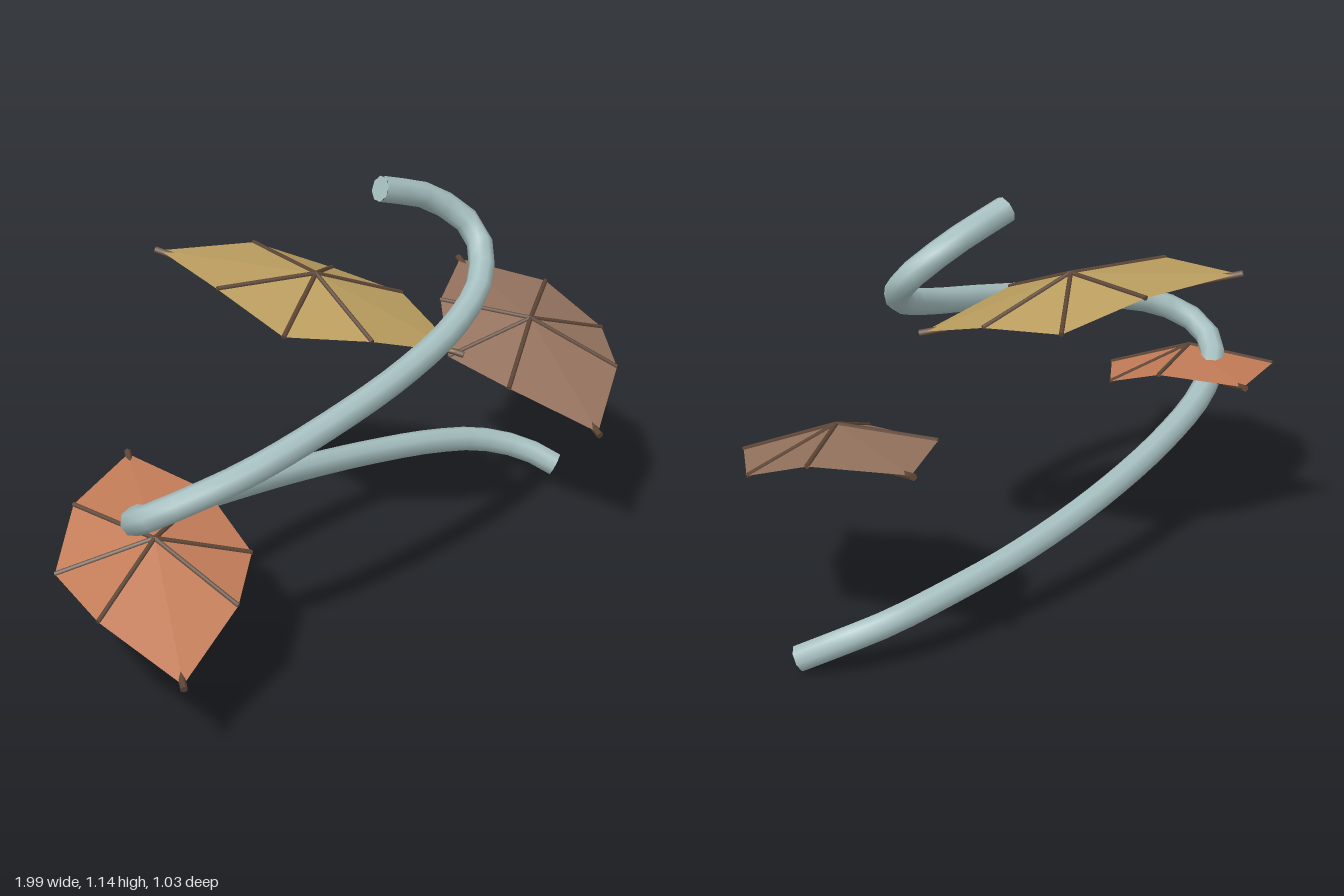
import * as THREE from 'three';

const mat = (name, color, double) => {
  const m = new THREE.MeshStandardMaterial({ color });
  m.name = name;
  if (double) m.side = THREE.DoubleSide;
  return m;
};

const V = (x, y, z) => new THREE.Vector3(x, y, z);

function mesh(name, geometry, material) {
  const m = new THREE.Mesh(geometry, material);
  m.name = name;
  return m;
}

// Thin round bar between two points
function bar(name, a, b, radius, material) {
  const m = mesh(name, new THREE.CylinderGeometry(radius, radius, a.distanceTo(b), 6), material);
  m.position.addVectors(a, b).multiplyScalar(0.5);
  m.quaternion.setFromUnitVectors(V(0, 1, 0), b.clone().sub(a).normalize());
  return m;
}

// Rising spiral tube with closed ends
function spiral(material) {
  const group = new THREE.Group();
  group.name = 'spiral';
  const radius = 0.037, sides = 8;
  const curve = new THREE.CatmullRomCurve3([
    [0.95, 0.04, 0.065], [0.9, 0.085, -0.015], [0.79, 0.13, -0.1], [0.63, 0.165, -0.15],
    [0.38, 0.205, -0.19], [0.05, 0.26, -0.203], [-0.3, 0.325, -0.178], [-0.55, 0.385, -0.13],
    [-0.7, 0.44, -0.06], [-0.762, 0.495, 0.03], [-0.71, 0.555, 0.125], [-0.55, 0.61, 0.205],
    [-0.3, 0.67, 0.25], [0, 0.735, 0.263], [0.25, 0.795, 0.235], [0.42, 0.86, 0.175],
    [0.51, 0.95, 0.075], [0.43, 1.045, -0.01], [0.25, 1.112, -0.053],
  ].map(p => V(...p)), false, 'centripetal');
  group.add(mesh('spiralTube', new THREE.TubeGeometry(curve, 48, radius, sides), material));
  for (const t of [0, 1]) {
    const cap = mesh('spiralEnd', new THREE.CircleGeometry(radius, sides), material);
    cap.position.copy(curve.getPoint(t));
    const out = curve.getTangent(t).multiplyScalar(t ? 1 : -1);
    cap.quaternion.setFromUnitVectors(V(0, 0, 1), out);
    group.add(cap);
  }
  return group;
}

// Eight-panel canopy with its peak at the origin, ribs and a straight spar
function canopy(name, cloth, wood, position, yaw) {
  const group = new THREE.Group();
  group.name = name;
  const rim = [
    V(0, -0.088, -0.445), V(-0.18, -0.055, -0.225), V(-0.26, -0.088, 0), V(-0.18, -0.055, 0.225),
    V(0, -0.088, 0.445), V(0.18, -0.055, 0.225), V(0.26, -0.088, 0), V(0.18, -0.055, -0.225),
  ];
  const peak = V(0, 0, 0);
  const panels = rim.flatMap((p, i) => [peak, p, rim[(i + 1) % rim.length]]);
  const geometry = new THREE.BufferGeometry().setFromPoints(panels);
  geometry.computeVertexNormals();
  group.add(mesh('cloth', geometry, cloth));

  rim.forEach((p, i) => {
    if (i % 4) group.add(bar('rib', peak, p, 0.007, wood));
  });
  group.add(bar('spar', V(0, -0.09, -0.458), V(0, -0.09, 0.458), 0.01, wood));

  group.position.set(...position);
  group.rotation.set(THREE.MathUtils.degToRad(14.2), THREE.MathUtils.degToRad(yaw), 0, 'YXZ');
  return group;
}

export function createModel() {
  const model = new THREE.Group();
  model.name = 'spiralWithCanopies';
  const wood = mat('dark wood', 0x5e4636);
  model.add(
    spiral(mat('pale blue grey', 0xa6bfc0)),
    canopy('lowCanopy', mat('terracotta', 0xc27b57, true), wood, [-0.73, 0.44, 0.05], -34),
    canopy('middleCanopy', mat('brown', 0x92715d, true), wood, [0.74, 0.617, 0.11], -22.4),
    canopy('highCanopy', mat('ochre', 0xb99c5e, true), wood, [0.055, 0.9, -0.115], 28.6),
  );
  return model;
}
